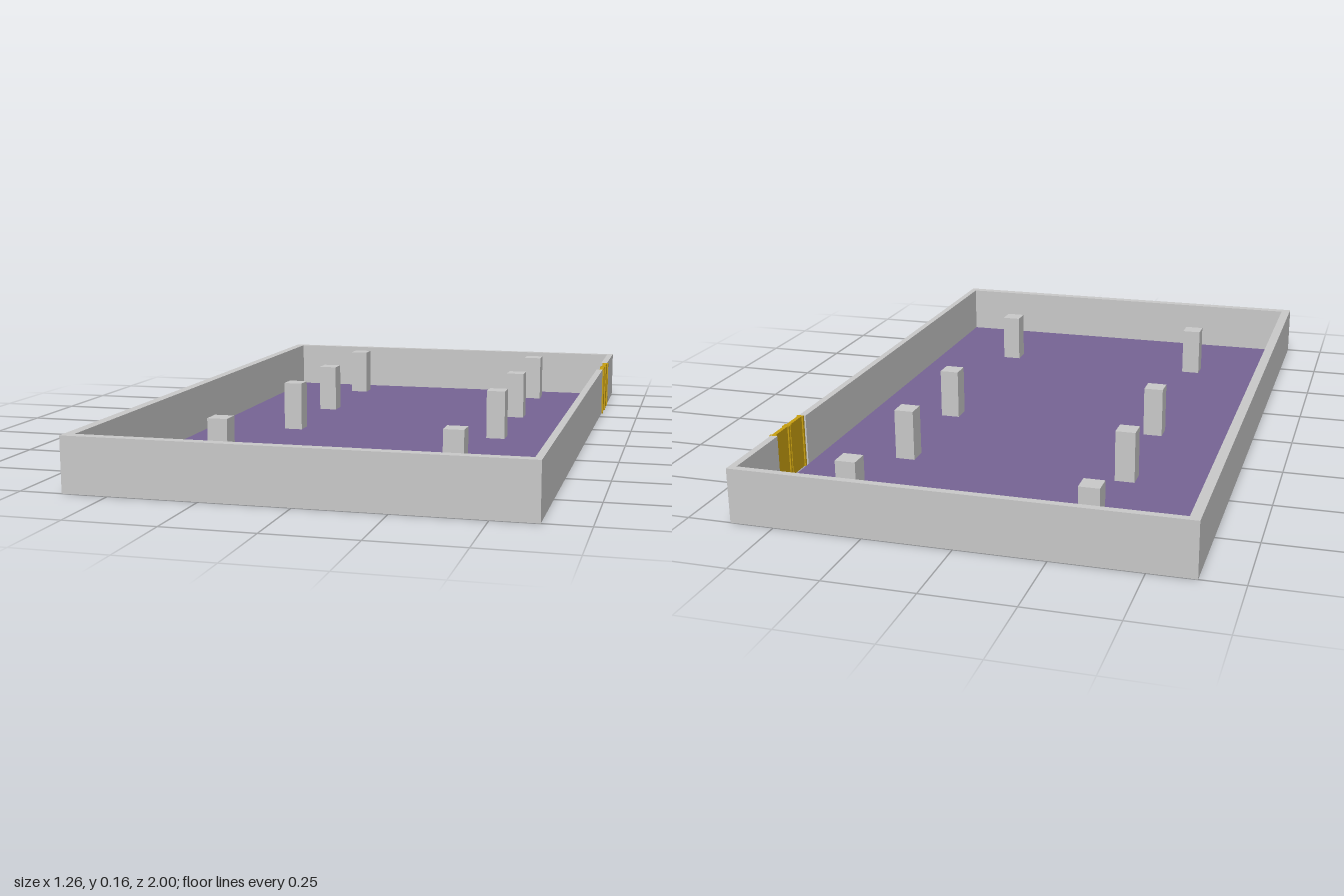
import * as THREE from 'three';

export function createModel() {
  const model = new THREE.Group();
  model.name = 'walledHall';

  const mat = (name, color) => {
    const m = new THREE.MeshStandardMaterial({ color });
    m.name = name;
    return m;
  };
  const grey = mat('lightGrey', 0xcacaca);
  const purple = mat('mutedPurple', 0x776595);
  const gold = mat('gold', 0xc9a010);

  // Box given by its extents along each axis
  const box = (name, material, [x0, x1], [y0, y1], [z0, z1], parent = model) => {
    const mesh = new THREE.Mesh(new THREE.BoxGeometry(x1 - x0, y1 - y0, z1 - z0), material);
    mesh.position.set((x0 + x1) / 2, (y0 + y1) / 2, (z0 + z1) / 2);
    mesh.name = name;
    parent.add(mesh);
  };

  const H = 0.155;
  const tall = [0, H];
  const doorZ = [-0.745, -0.567];

  // Floor slab, a hair above the wall and pillar undersides
  box('floor', purple, [-0.601, 0.605], [0.001, 0.004], [-0.979, 0.97]);

  // Perimeter walls, the +x wall broken by the doorway
  box('frontWall', grey, [-0.63, 0.625], tall, [0.97, 1]);
  box('backWall', grey, [-0.63, 0.625], tall, [-1, -0.979]);
  box('rightWall', grey, [-0.63, -0.601], tall, [-0.979, 0.97]);
  box('leftWallLong', grey, [0.605, 0.625], tall, [doorZ[1], 0.97]);
  box('leftWallShort', grey, [0.605, 0.625], tall, [-0.979, doorZ[0]]);

  // Two rows of square pillars
  for (const x of [-0.324, 0.345]) {
    for (const z of [-0.843, -0.424, -0.03, 0.64]) {
      box('pillar', grey, [x - 0.029, x + 0.029], tall, [z - 0.029, z + 0.029]);
    }
  }

  // Double door: thin leaves with thicker stiles at both edges
  const door = new THREE.Group();
  door.name = 'doubleDoor';
  model.add(door);
  const mid = (doorZ[0] + doorZ[1]) / 2;
  for (const [z0, z1] of [[doorZ[0], mid - 0.002], [mid + 0.002, doorZ[1]]]) {
    box('doorPanel', gold, [0.614, 0.626], tall, [z0 + 0.008, z1 - 0.008], door);
    box('doorStile', gold, [0.61, 0.63], tall, [z0, z0 + 0.008], door);
    box('doorStile', gold, [0.61, 0.63], tall, [z1 - 0.008, z1], door);
  }

  return model;
}
